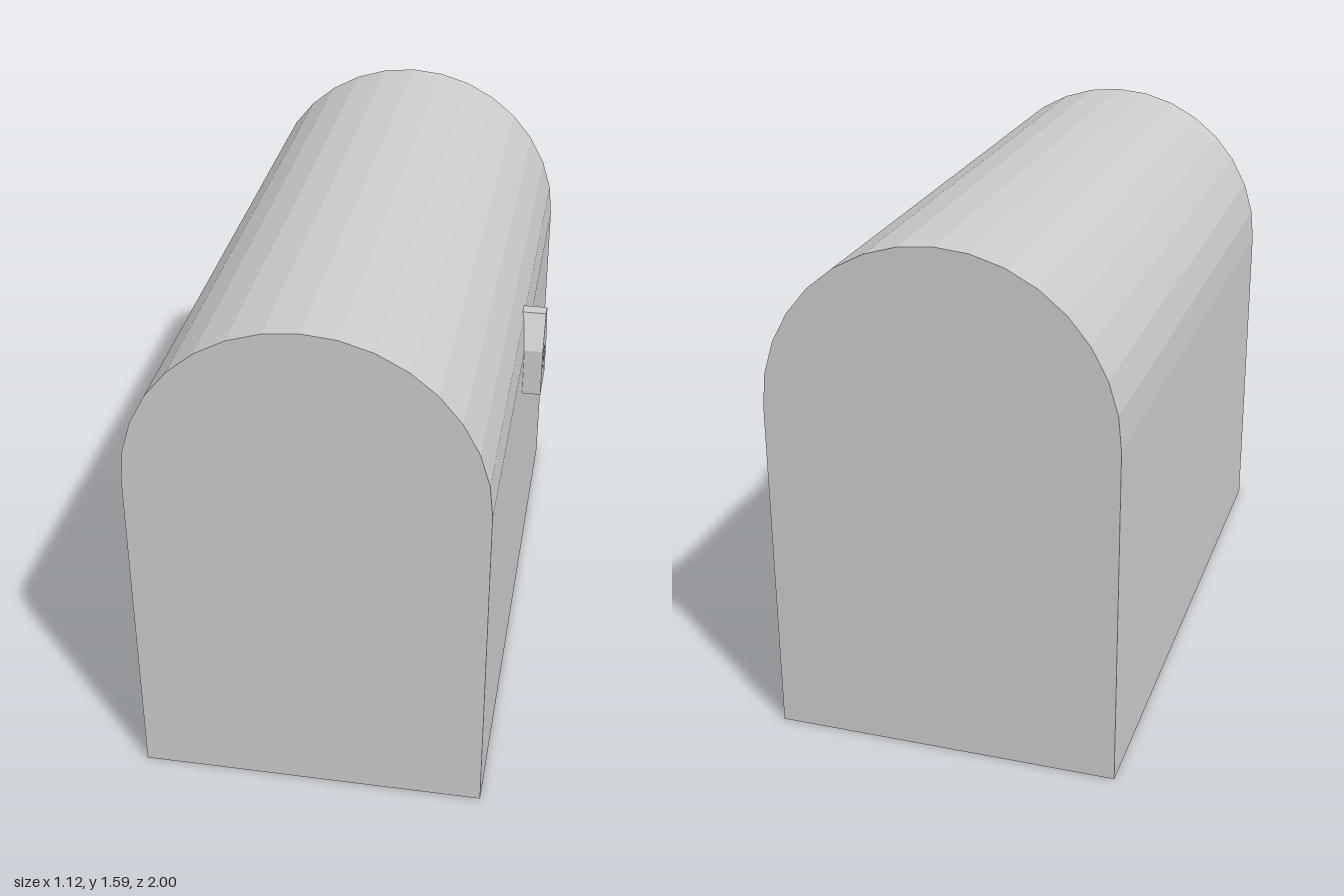
import * as THREE from 'three';

const material = new THREE.MeshStandardMaterial({ color: 0xcccccc, flatShading: true });

const CENTER_X = -0.03, RADIUS = 0.53, SEAM_Y = 1.06, LENGTH = 2;

function part(name, geometry) {
  const mesh = new THREE.Mesh(geometry, material);
  mesh.name = name;
  return mesh;
}

// Mirrors a right-hand outline (bottom to top) across the vertical axis
function mirrored(half) {
  const left = half.map(([x, y]) => [-x, y]).reverse();
  return [...half, ...left].map(([x, y]) => new THREE.Vector2(x, y));
}

// Extrudes a shape sideways so that it spans x0 to x1
function extrudeAlongX(shape, x0, x1) {
  return new THREE.ExtrudeGeometry(shape, { depth: x1 - x0, bevelEnabled: false })
    .rotateY(Math.PI / 2)
    .translate(x0, 0, 0);
}

export function createModel() {
  const chest = new THREE.Group();
  chest.name = 'chest';

  // Box-shaped lower body
  const body = part('body', new THREE.BoxGeometry(RADIUS * 2, SEAM_Y, LENGTH));
  body.position.set(CENTER_X, SEAM_Y / 2, 0);
  chest.add(body);

  // Faceted half-round lid
  const arch = [];
  for (let i = 0; i <= 16; i++) {
    const a = (i / 16) * Math.PI;
    arch.push(new THREE.Vector2(RADIUS * Math.cos(a), RADIUS * Math.sin(a)));
  }
  const lidGeometry = new THREE.ExtrudeGeometry(new THREE.Shape(arch), { depth: LENGTH, bevelEnabled: false });
  const lid = part('lid', lidGeometry.translate(0, 0, -LENGTH / 2));
  lid.position.set(CENTER_X, SEAM_Y, 0);
  chest.add(lid);

  // Lock plate with tapered top and a recessed keyhole
  const lock = new THREE.Group();
  lock.name = 'lock';
  const outline = mirrored([[0.078, 0.91], [0.078, 1.07], [0.022, 1.18]]);
  const keyhole = mirrored([
    [0.006, 0.955], [0.009, 0.965], [0.009, 1.002], [0.018, 1.002],
    [0.024, 1.008], [0.024, 1.04], [0.018, 1.046],
  ]);
  const plate = new THREE.Shape(outline);
  plate.holes.push(new THREE.Path(keyhole));
  lock.add(part('lockPlate', extrudeAlongX(plate, 0.47, 0.56)));
  lock.add(part('keyholeFloor', extrudeAlongX(new THREE.Shape(keyhole), 0.47, 0.53)));
  chest.add(lock);

  return chest;
}
